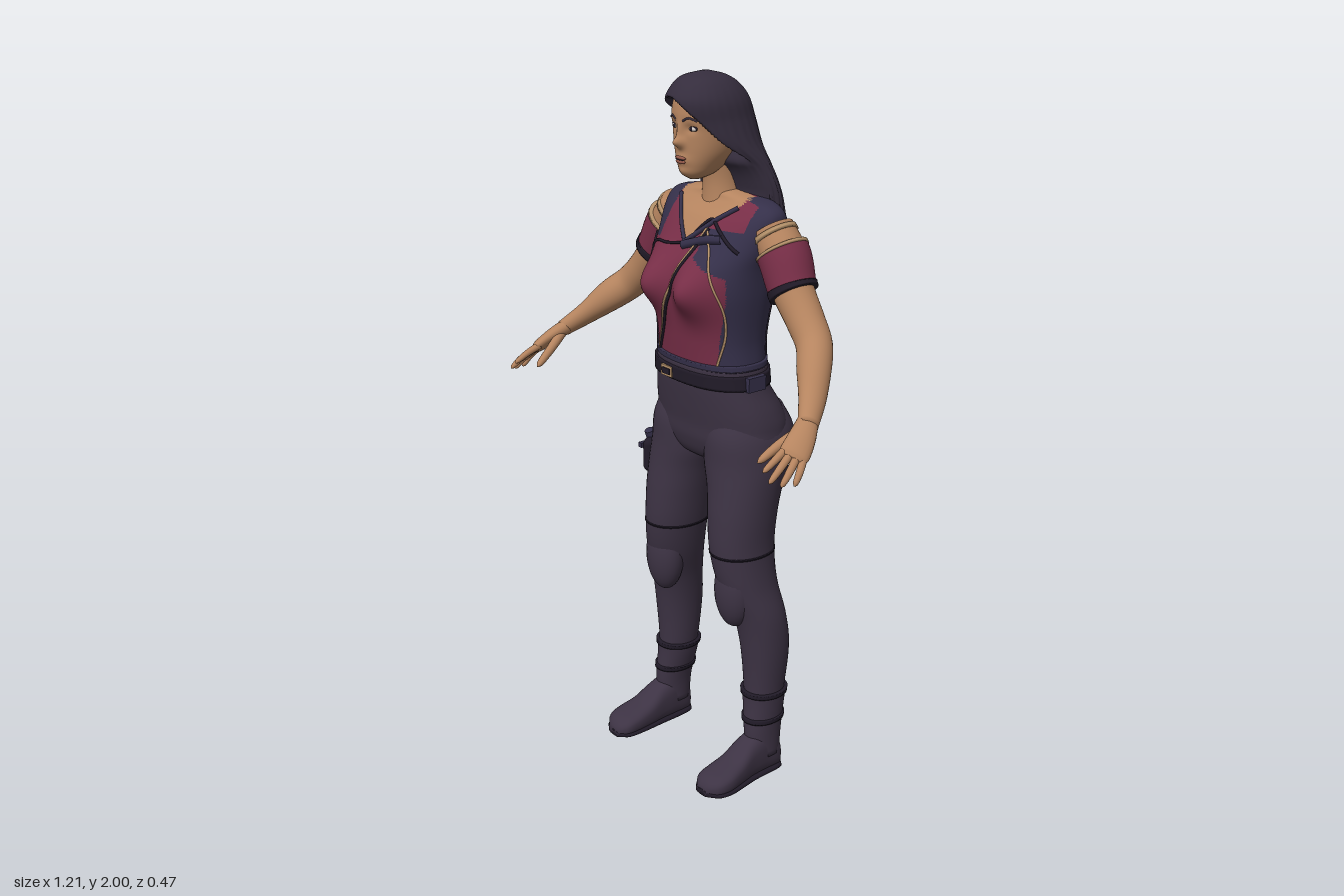
import * as THREE from 'three';
import { mergeGeometries } from 'three/addons/utils/BufferGeometryUtils.js';

const mat = (name, color) => Object.assign(new THREE.MeshStandardMaterial({ color }), { name });
const V = (a) => new THREE.Vector3(...a);
const TAU = Math.PI * 2;
const spow = (c, e) => Math.sign(c) * Math.abs(c) ** e;
const smooth = THREE.MathUtils.smoothstep;

// Smooth interpolation through rows [position, ...values]
function keyed(K, v) {
  let i = 0;
  while (i < K.length - 2 && v > K[i + 1][0]) i++;
  const slope = (j, c) => {
    const a = K[Math.max(j - 1, 0)], b = K[Math.min(j + 1, K.length - 1)];
    return (b[c] - a[c]) / (b[0] - a[0]);
  };
  const A = K[i], B = K[i + 1], h = B[0] - A[0], t = THREE.MathUtils.clamp((v - A[0]) / h, 0, 1);
  return A.slice(1).map((a, k) => {
    const c = k + 1, t2 = t * t, t3 = t2 * t;
    return a * (2 * t3 - 3 * t2 + 1) + slope(i, c) * h * (t3 - 2 * t2 + t)
      + B[c] * (3 * t2 - 2 * t3) + slope(i + 1, c) * h * (t3 - t2);
  });
}

// Closed tube surface P(angle, 0..1) with end caps; pick() sorts faces into material groups
function surf(P, nu, nv, pick) {
  const pos = [], buckets = [];
  for (let j = 0; j <= nv; j++) for (let i = 0; i < nu; i++) pos.push(...P(i / nu * TAU, j / nv));
  const at = (n) => [pos[3 * n], pos[3 * n + 1], pos[3 * n + 2]];
  const face = (a, b, c) => {
    const A = at(a), B = at(b), C = at(c);
    const k = pick ? pick(...A.map((q, n) => (q + B[n] + C[n]) / 3)) : 0;
    (buckets[k] ||= []).push(a, b, c);
  };
  for (let j = 0; j < nv; j++) for (let i = 0; i < nu; i++) {
    const a = j * nu + i, b = j * nu + (i + 1) % nu;
    face(a, a + nu, b); face(b, a + nu, b + nu);
  }
  for (const j of [0, nv]) {
    const c = [0, 0, 0], n = pos.length / 3;
    for (let i = 0; i < nu; i++) at(j * nu + i).forEach((q, k) => { c[k] += q / nu; });
    pos.push(...c);
    for (let i = 0; i < nu; i++) {
      const a = j * nu + i, b = j * nu + (i + 1) % nu;
      if (j) face(n, b, a); else face(n, a, b);
    }
  }
  const g = new THREE.BufferGeometry();
  g.setAttribute('position', new THREE.Float32BufferAttribute(pos, 3));
  g.setIndex(buckets.flat());
  let start = 0;
  if (pick) buckets.forEach((b, k) => { g.addGroup(start, b.length, k); start += b.length; });
  g.computeVertexNormals();
  return g;
}

// Upright loft from rows [y, xInner, xOuter, zFront, zBack]
const ring = (K, p, y0, y1, off = 0) => (t, s) => {
  const y = y0 + (y1 - y0) * s, [xi, xo, zf, zb] = keyed(K, y), e = 2 / p;
  return [(xi + xo) / 2 + ((xo - xi) / 2 + off) * spow(Math.cos(t), e), y,
    (zf + zb) / 2 + ((zf - zb) / 2 + off) * spow(Math.sin(t), e)];
};
const frontZ = (K, p, x, y, side = 1) => {
  const [xi, xo, zf, zb] = keyed(K, y), q = Math.min(1, Math.abs(x - (xi + xo) / 2) / ((xo - xi) / 2));
  return (zf + zb) / 2 + side * (zf - zb) / 2 * (1 - q ** p) ** (1 / p);
};
const sym = (K) => K.map(([y, w, f, b]) => [y, -w, w, f, b]);

// Tapered limb along a path; radii rows [s, wide, thin], wide axis along ref
function limb(pts, radii, ref, s0 = 0, s1 = 1, off = 0, nu = 20, nv = 30) {
  const c = new THREE.CatmullRomCurve3(pts.map(V));
  return surf((t, s) => {
    const u = s0 + (s1 - s0) * s, T = c.getTangent(u), [ra, rb] = keyed(radii, u);
    const n = V(ref).addScaledVector(T, -V(ref).dot(T)).normalize(), b = T.clone().cross(n);
    return c.getPoint(u).addScaledVector(n, (ra + off) * Math.cos(t)).addScaledVector(b, -(rb + off) * Math.sin(t)).toArray();
  }, nu, nv);
}
const cord = (pts, r) => new THREE.TubeGeometry(new THREE.CatmullRomCurve3(pts.map(V)), 40, r, 6);
const ball = (x, y, z, a, b, c) => new THREE.SphereGeometry(1, 24, 16).scale(a, b, c).translate(x, y, z);
function mirrored(geo) {
  const g = geo.clone().scale(-1, 1, 1), ix = g.index.array;
  for (let i = 0; i < ix.length; i += 3) [ix[i], ix[i + 1]] = [ix[i + 1], ix[i]];
  return g;
}

export function createModel() {
  const root = new THREE.Group();
  const skin = mat('skin', 0xb5845f), hair = mat('hair', 0x352d3d), cloth = mat('trousers', 0x3d3344);
  const panel = mat('panel', 0x35304a), red = mat('jacket', 0x772e47), dark = mat('piping', 0x211b28);
  const trim = mat('trim', 0xb8946c), white = mat('eyeWhite', 0xd8d0cc), lip = mat('lip', 0x94594a);
  const add = (name, geo, m) => { const o = new THREE.Mesh(geo, m); o.name = name; root.add(o); };
  const pair = (name, geo, m) => { add(name + 'Left', geo, m); add(name + 'Right', mirrored(geo), m); };

  // Torso, with jacket panels and open neckline
  const TK = sym([[1.17, .18, .055, -.165], [1.22, .174, .058, -.165], [1.3, .168, .068, -.172], [1.42, .18, .082, -.195],
    [1.5, .188, .072, -.206], [1.56, .205, .038, -.206], [1.62, .216, -.002, -.195], [1.65, .208, -.03, -.175],
    [1.668, .175, -.045, -.16], [1.682, .1, -.05, -.15], [1.692, .04, -.06, -.13]]);
  const bust = (x, y) => .054 * Math.exp(-((Math.abs(x) - .08) ** 2) / .0034 - (y - 1.44) ** 2 / .0045);
  const base = ring(TK, 2.3, 1.19, 1.692);
  const neckline = (x) => 1.558 + .85 * Math.abs(x);
  add('torso', surf((t, s) => {
    const p = base(t, s);
    p[2] += bust(p[0], p[1]) * smooth(Math.sin(t), 0, .4);
    return p;
  }, 168, 110, (x, y, z) => {
    const ax = Math.abs(x);
    if (z > -.1 && y > neckline(x) && ax < .125) return 0;
    if (y > 1.672 && ax < .1) return 0;
    if (y < 1.53 && ax > .1 && z < .03 && z > -.135 + .05 * smooth(y, 1.4, 1.53)) return 1;
    if (x > .06 && z > -.06 && y > 1.53 - (x - .06) * .5 && y < 1.6) return 1;
    if (ax > .125 && y > 1.545 && !(x > 0 && z > -.07 && x < .17)) return 1;
    return 2;
  }), [skin, panel, red]);

  // Seams, zips and neckline edging lying on the jacket
  const on = (pts, side = 1) => pts.map(([x, y]) => [x, y, frontZ(TK, 2.3, x, y, side) + (side > 0 ? bust(x, y) : 0) + side * .002]);
  const dense = (pts, n = 24) => {
    const c = new THREE.CatmullRomCurve3(pts.map(([x, y]) => V([x, y, 0])));
    return c.getPoints(n).map((p) => [p.x, p.y]);
  };
  const seam = (name, pts, r, m, side) => add(name, cord(on(dense(pts), side), r), m);
  seam('mainZip', [[.058, 1.6], [.02, 1.49], [-.04, 1.36], [-.115, 1.225]], .0035, trim);
  seam('zipEdge', [[.066, 1.6], [.028, 1.49], [-.032, 1.36], [-.107, 1.225]], .004, dark);
  seam('sideZip', [[.06, 1.6], [.11, 1.53], [.15, 1.42], [.148, 1.33], [.125, 1.23]], .0035, trim);
  seam('sideSeam', [[-.165, 1.55], [-.15, 1.46], [-.15, 1.36], [-.135, 1.23]], .004, dark);
  seam('chestSeam', [[-.18, 1.48], [-.13, 1.535], [-.06, 1.545], [0, 1.555]], .004, dark);
  seam('necklineRight', [[-.12, 1.657], [-.08, 1.627], [-.04, 1.592], [0, 1.558]], .006, panel);
  seam('necklineLeft', [[0, 1.558], [.03, 1.582], [.07, 1.618], [.12, 1.657]], .007, panel);
  seam('collarFlap', [[0, 1.55], [.03, 1.56], [.07, 1.573], [.12, 1.58]], .013, panel);
  seam('flapEdge', [[.01, 1.555], [.04, 1.605], [.06, 1.622], [.1, 1.6], [.17, 1.55]], .005, dark);
  for (const s of [-1, 1]) {
    seam('backYokeSeam', [[s * .18, 1.545], [s * .12, 1.55], [s * .05, 1.53]], .004, dark, -1);
    seam('backSideSeam', [[s * .165, 1.5], [s * .14, 1.42], [s * .125, 1.32], [s * .135, 1.23]], .003, dark, -1);
  }

  // Belt with buckle
  add('hem', surf(ring(TK, 2.3, 1.222, 1.24, .006), 64, 4), panel);
  add('belt', surf(ring(TK, 2.3, 1.172, 1.212, .012), 64, 6), dark);
  add('waistband', surf(ring(TK, 2.3, 1.18, 1.225, .006), 64, 6), cloth);
  const bz = frontZ(TK, 2.3, -.045, 1.19) + .013;
  add('buckle', new THREE.BoxGeometry(.045, .03, .008).translate(-.045, 1.191, bz), trim);
  add('buckleCentre', new THREE.BoxGeometry(.032, .017, .008).translate(-.045, 1.191, bz + .003), dark);
  pair('beltPouch', new THREE.BoxGeometry(.02, .04, .06).translate(.188, 1.19, -.05), panel);

  // Hips and legs
  add('hips', surf(ring(sym([[.925, .03, -.03, -.11], [.95, .13, .012, -.16], [1, .212, .034, -.208], [1.05, .218, .04, -.222],
    [1.1, .21, .048, -.205], [1.16, .19, .056, -.172], [1.2, .18, .058, -.165]]), 2.3, .925, 1.2), 64, 32), cloth);
  const LK = [[.07, .172, .246, -.03, -.125], [.14, .168, .246, -.024, -.132], [.25, .146, .25, -.03, -.148], [.4, .13, .262, -.02, -.162],
    [.5, .113, .259, -.002, -.152], [.6, .086, .237, .036, -.14], [.7, .066, .226, .052, -.141], [.8, .05, .228, .05, -.153],
    [.88, .032, .23, .042, -.175], [.95, .004, .23, .037, -.208], [1.03, .002, .221, .034, -.226], [1.1, .02, .19, .01, -.195]];
  pair('leg', surf(ring(LK, 2.1, .07, 1.1), 40, 64), cloth);
  pair('kneePad', ball(.157, .58, -.008, .064, .112, .05), cloth);
  pair('kneeSeam', surf(ring(LK, 2.1, .69, .696, .002), 40, 2), dark);

  // Boots
  pair('bootShaft', surf(ring(LK, 2.1, .06, .26, .005), 36, 12), cloth);
  for (const y of [.17, .25]) pair('bootStrap', surf(ring(LK, 2.1, y, y + .014, .01), 36, 3), dark);
  const FK = [[-.13, .21, .018, .06], [-.118, .21, .034, .1], [-.06, .209, .041, .135], [-.01, .21, .044, .12], [.04, .213, .05, .085],
    [.09, .216, .055, .066], [.13, .214, .048, .052], [.152, .21, .022, .032]];
  const foot = (cap, off) => surf((t, s) => {
    const z = -.13 + .282 * s, [cx, w, h] = keyed(FK, z), H = Math.min(h, cap);
    return [cx + (w + off) * spow(Math.cos(t), .75), H / 2 * (1 - spow(Math.sin(t), .75)), z];
  }, 32, 30);
  pair('bootFoot', foot(1, 0), cloth);
  pair('bootSole', foot(.02, .004), dark);

  // Thigh holster on the right leg
  add('holster', new THREE.CapsuleGeometry(.024, .065, 6, 16).scale(.9, 1, 1.4).translate(-.238, .865, -.03), dark);
  add('holsterGrip', new THREE.CylinderGeometry(.014, .018, .05, 14).rotateX(.4).translate(-.245, .915, -.03), panel);
  add('holsterStrap', new THREE.BoxGeometry(.016, .014, .075).translate(-.253, .895, -.03), panel);

  // Arms and sleeves
  const AP = [[.19, 1.605, -.1], [.24, 1.54, -.1], [.283, 1.463, -.092], [.34, 1.395, -.086], [.39, 1.345, -.072],
    [.437, 1.3, -.03], [.487, 1.245, .02], [.532, 1.197, .075]];
  const AR = [.058, .062, .056, .051, .048, .045, .037, .027].map((r, i) => [i / 7, r, r * (i > 5 ? .85 : 1)]);
  const arm = (a, b, off, nv) => limb(AP, AR, [0, 0, 1], a, b, off, 32, nv);
  pair('arm', arm(0, 1, 0, 50), skin);
  pair('sleeve', arm(.115, .295, .009, 14), red);
  pair('sleeveTrim', arm(.105, .12, .011, 2), trim);
  pair('sleeveCuff', arm(.275, .305, .012, 4), dark);
  pair('armholeEdge', arm(.02, .045, .004, 2), trim);

  // Hands
  pair('palm', limb([[.522, 1.207, .064], [.545, 1.178, .105], [.56, 1.152, .14], [.566, 1.14, .158]],
    [[0, .027, .023], [.4, .036, .02], [.8, .038, .016], [1, .028, .01]], [.035, -.012, -.04]), skin);
  const fingers = [[[.541, 1.158, .155], [.547, 1.14, .195], [.549, 1.118, .236]], [[.556, 1.148, .155], [.568, 1.122, .2], [.572, 1.096, .236]],
    [[.569, 1.144, .142], [.584, 1.114, .182], [.589, 1.086, .212]], [[.577, 1.143, .127], [.593, 1.113, .155], [.6, 1.083, .178]],
    [[.525, 1.188, .085], [.503, 1.155, .14], [.487, 1.115, .2]]];
  fingers.forEach((f, i) => {
    const r = i === 4 ? .015 : .011;
    pair(i === 4 ? 'thumb' : 'finger', limb(f, [[0, r, r], [.6, r * .85, r * .85], [.92, r * .6, r * .6], [1, .002, .002]], [1, .2, 0], 0, 1, 0, 12, 14), skin);
  });

  // Neck and head
  add('neck', surf(ring(sym([[1.62, .075, -.03, -.16], [1.67, .058, -.035, -.145], [1.72, .052, -.035, -.135], [1.8, .056, -.02, -.13]]), 2, 1.62, 1.8), 32, 12), skin);
  const HK = sym([[1.722, .012, .02, -.02], [1.735, .036, .04, -.05], [1.76, .056, .049, -.085], [1.8, .077, .052, -.12],
    [1.85, .088, .054, -.138], [1.9, .09, .058, -.145], [1.95, .074, .04, -.12], [1.985, .03, -.01, -.07]]);
  const relief = (x, y) => {
    const g = (a, b, sx, sy) => Math.exp(-(((x - a) / sx) ** 2) - ((y - b) / sy) ** 2);
    return .024 * g(0, 1.823, .014, .014) + .011 * g(0, 1.85, .01, .024) + .006 * g(0, 1.776, .022, .014)
      + .005 * g(0, 1.745, .02, .012) - .006 * (g(.034, 1.86, .016, .012) + g(-.034, 1.86, .016, .012));
  };
  const skull = ring(HK, 2.15, 1.722, 1.985);
  add('head', surf((t, s) => {
    const p = skull(t, s);
    if (Math.sin(t) > 0) p[2] += relief(p[0], p[1]);
    return p;
  }, 120, 80), skin);
  const fz = (x, y) => frontZ(HK, 2.15, x, y) + relief(x, y);
  const ez = fz(.034, 1.861);
  pair('eyeLine', ball(.034, 1.862, ez - .003, .0185, .0085, .0055), dark);
  pair('eye', ball(.034, 1.861, ez - .001, .016, .0062, .0055), white);
  pair('iris', ball(.034, 1.861, ez + .002, .0062, .0062, .0035), dark);
  pair('eyebrow', cord([[.014, 1.88], [.032, 1.889], [.054, 1.882]].map(([x, y]) => [x, y, fz(x, y)]), .003), hair);
  add('upperLip', ball(0, 1.782, fz(0, 1.782) - .002, .022, .0048, .005), lip);
  add('lowerLip', ball(0, 1.772, fz(0, 1.772) - .002, .019, .0055, .006), lip);
  add('mouthLine', ball(0, 1.7775, fz(0, 1.7775) + .0005, .02, .0012, .003), dark);

  // Long hair with a swept fringe and fluted locks
  const RK = sym([[1.64, .152, -.09, -.232], [1.7, .15, -.085, -.213], [1.76, .136, -.05, -.196], [1.82, .119, .04, -.182],
    [1.88, .105, .07, -.168], [1.93, .097, .08, -.15], [1.965, .078, .062, -.122], [1.988, .05, .035, -.085], [2, .008, -.01, -.04]]);
  const mane = ring(RK, 2.1, 1.64, 2);
  const hairPoint = (t, s) => {
    const p = mane(t, s), front = Math.max(0, Math.sin(t)), back = Math.max(0, -Math.sin(t));
    const line = 1.932 - 8 * (p[0] + .02) ** 2;
    p[2] -= .075 * Math.min(1, front * 1.4) * (1 - smooth(p[1], line - .006, line + .008)) * smooth(p[1], 1.76, 1.82);
    const k = 1 + .012 * Math.sin(28 * t + 5 * s) * (1 - s);
    p[0] *= k;
    p[2] = -.06 + (p[2] + .06) * k;
    p[1] -= .06 * back * (1 - s) ** 3;
    return p;
  };
  add('hair', surf(hairPoint, 140, 90), hair);

  // Loose strand ends along the bottom edge
  const noise = (n) => { const q = Math.sin(n * 12.9898) * 43758.5453; return q - Math.floor(q); };
  const strands = [];
  for (let i = 0; i < 90; i++) {
    const t = Math.PI * (.93 + 1.14 * i / 89), p = hairPoint(t, .05 + .1 * noise(i)), L = .06 + .05 * noise(i + 200);
    strands.push(new THREE.ConeGeometry(.006, L, 5).rotateX(Math.PI).rotateZ(Math.cos(t) * .15)
      .translate(p[0] * .985, p[1] - L * .45, p[2] + .002));
  }
  add('hairEnds', mergeGeometries(strands), hair);
  return root;
}
